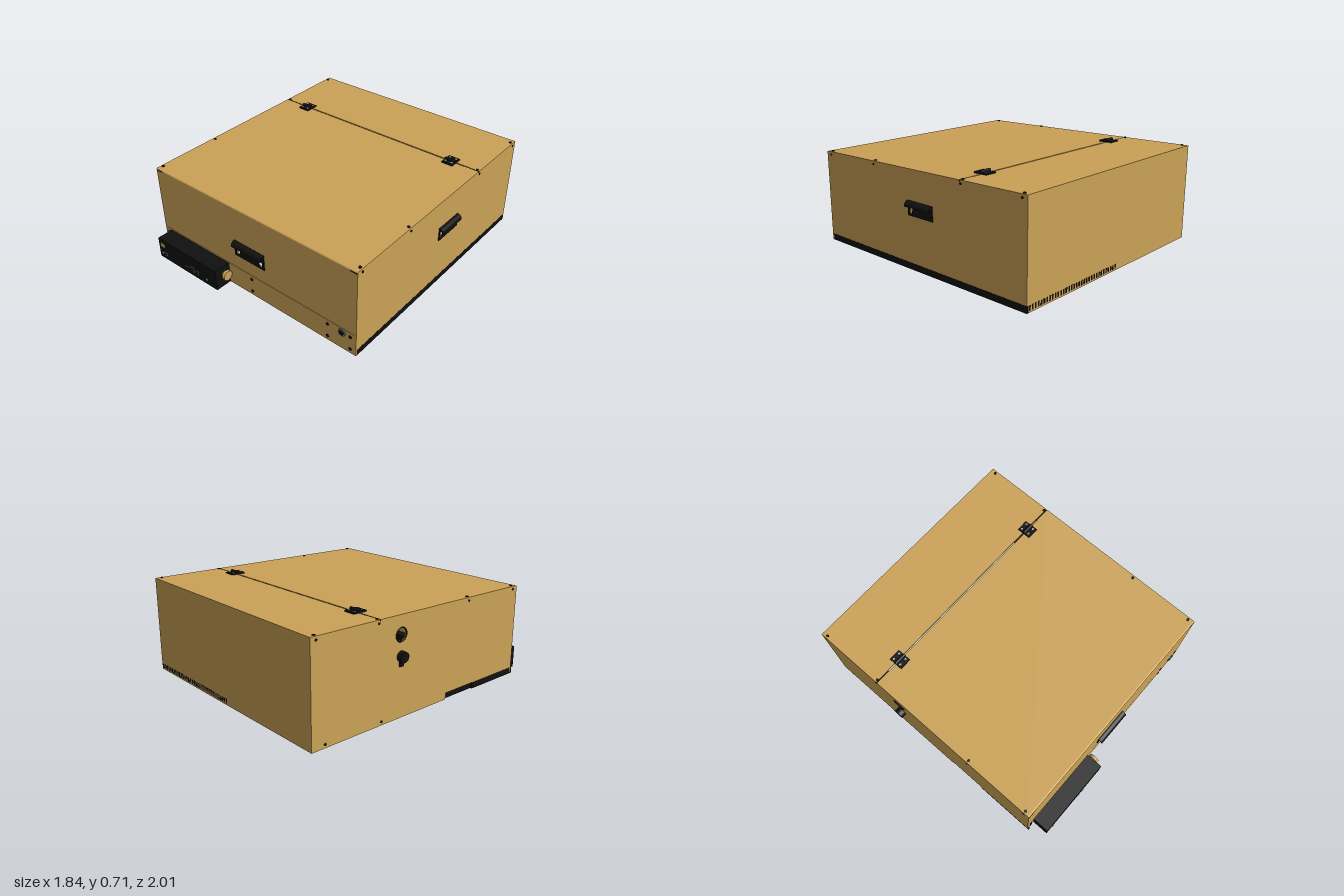
import * as THREE from 'three';

const mat = (name, color) => {
  const m = new THREE.MeshStandardMaterial({ color });
  m.name = name;
  return m;
};

export function createModel() {
  const model = new THREE.Group();
  model.name = 'enclosure';
  const tan = mat('tan panel', 0xcba257);
  const black = mat('black', 0x101010);
  const grey = mat('light grey', 0xa8adb0);
  const steel = mat('blue grey steel', 0x74858f);

  const add = (name, geo, material, x = 0, y = 0, z = 0, parent = model) => {
    const m = new THREE.Mesh(geo, material);
    m.name = name;
    m.position.set(x, y, z);
    parent.add(m);
    return m;
  };
  // box given by its limits
  const box = (name, material, x0, x1, y0, y1, z0, z1, parent = model) =>
    add(name, new THREE.BoxGeometry(x1 - x0, y1 - y0, z1 - z0), material,
      (x0 + x1) / 2, (y0 + y1) / 2, (z0 + z1) / 2, parent);
  const cyl = (name, material, r, h, axis, x, y, z, seg = 20) => {
    const m = add(name, new THREE.CylinderGeometry(r, r, h, seg), material, x, y, z);
    if (axis === 'x') m.rotation.z = Math.PI / 2;
    if (axis === 'z') m.rotation.x = Math.PI / 2;
    return m;
  };
  const outline = (pts, Type = THREE.Shape) => new Type(pts.map(p => new THREE.Vector2(...p)));
  const rect = (x0, x1, y0, y1, Type) => outline([[x0, y0], [x1, y0], [x1, y1], [x0, y1]], Type);
  const extrude = (shape, depth) =>
    new THREE.ExtrudeGeometry(shape, { depth, bevelEnabled: false, curveSegments: 24 });
  // profile drawn in (-z, y), extruded along +x from x0
  const sidePart = (name, material, shape, x0, depth) => {
    const m = add(name, extrude(shape, depth), material, x0);
    m.rotation.y = Math.PI / 2;
    return m;
  };

  const W = 0.885, F = 0.875, B = -1, T = 0.012;
  const top = z => 0.679 - 0.016 * z;

  // side panels, one with a grip opening, one with a round port
  const leftSide = outline([[-F, 0.046], [-B, 0.046], [-B, top(B) - T], [-F, top(F) - T]]);
  leftSide.holes.push(rect(0.018, 0.212, 0.39, 0.432, THREE.Path));
  sidePart('leftPanel', tan, leftSide, W - T, T);
  const rightSide = outline([[-F, 0.046], [-0.15, 0.046], [-0.15, 0], [-B, 0],
    [-B, top(B) - T], [-F, top(F) - T]]);
  const port = new THREE.Path();
  port.absarc(0.29, 0.555, 0.045, 0, Math.PI * 2, true);
  rightSide.holes.push(port);
  sidePart('rightPanel', tan, rightSide, -W, T);
  const ring = add('portRing', new THREE.TorusGeometry(0.045, 0.004, 8, 32), black, -W, 0.555, -0.29);
  ring.rotation.y = Math.PI / 2;

  // front and back panels
  const front = rect(-W + T, W - T, 0.171, top(F) - T);
  front.holes.push(rect(-0.12, 0.115, 0.295, 0.36, THREE.Path));
  add('frontPanel', extrude(front, T), tan, 0, 0, F - T);
  box('lowerFrontPanel', tan, -W, W, 0, 0.167, F - T, F);
  box('seamStrip', black, -0.87, 0.87, 0.16, 0.178, F - T - 0.008, F - T - 0.001);
  box('backPanel', tan, -W + T, W - T, 0, top(B) - T, B, B + T);

  // sloping top: fixed rear strip and hinged lid with a rounded front edge
  const zb = -0.477, zl = -0.467;
  sidePart('rearTop', tan, outline([[-zb, top(zb) - T], [-B, top(B) - T], [-B, top(B)], [-zb, top(zb)]]), -W, 2 * W);
  const lid = new THREE.Shape();
  lid.moveTo(-F, top(F) - T);
  lid.lineTo(-zl, top(zl) - T);
  lid.lineTo(-zl, top(zl));
  lid.lineTo(-F + T, top(F));
  lid.quadraticCurveTo(-F, top(F), -F, top(F) - T);
  sidePart('lid', tan, lid, -W, 2 * W);

  // base frame and inner frame bars
  for (const s of [-1, 1]) {
    const sx = (name, a, b, y0, y1, z0, z1) =>
      box(name, black, Math.min(s * a, s * b), Math.max(s * a, s * b), y0, y1, z0, z1);
    sx('baseRail', 0.8, W - T - 0.001, 0, 0.1, B + T, F - T);
    sx('topRail', 0.845, W - T - 0.001, 0.61, 0.64, B + T, F - T);
    sx('frontPost', 0.84, W - T - 0.001, 0.1, 0.61, F - T - 0.032, F - T - 0.001);
    sx('rearPost', 0.84, W - T - 0.001, 0.1, 0.61, B + T + 0.001, B + T + 0.032);
    sx('lidSeamEnd', 0.77, W - 0.002, 0.66, top(zl) - 0.001, zb, zl);
    sx('lidCornerSlot', 0.83, W - 0.004, 0.65, 0.656, F - 0.004, F + 0.002);
  }
  box('leftBaseEdge', black, W - T - 0.002, W, 0, 0.045, B + 0.001, F - T);
  box('rightBaseEdge', black, -W, -W + T + 0.002, 0, 0.045, -0.149, F - T).position.z = (0.15 + F - 0.008) / 2 + 0.15;
  model.children[model.children.length - 1].scale.z = 0.45;
  box('frontRail', black, -0.8, 0.8, 0, 0.05, F - T - 0.075, F - T);
  box('rearRail', black, -0.8, 0.8, 0, 0.1, B + T, B + T + 0.075);

  // vent slots low on the back
  for (let i = 0; i < 34; i++) {
    const x = 0.86 - i * 0.026;
    box('ventSlot', black, x - 0.007, x + 0.007, 0.012, 0.045, B - 0.001, B + 0.004);
  }

  // recessed grip handles with a curled lip
  const handle = (name, w, h, windows) => {
    const g = new THREE.Group();
    g.name = name;
    const plate = rect(-w / 2, w / 2, 0, h);
    for (const s of windows) {
      const pts = [[s * w * 0.43, h * 0.12], [s * w * 0.34, h * 0.12],
        [s * w * 0.29, h * 0.62], [s * w * 0.43, h * 0.62]];
      plate.holes.push(outline(pts, THREE.Path));
    }
    add('handlePlate', extrude(plate, 0.006), black, 0, 0, 0, g);
    const r = 0.036, lip = new THREE.Shape();
    lip.moveTo(0, h);
    lip.quadraticCurveTo(r, h, r, h - r);
    lip.lineTo(r - 0.01, h - r);
    lip.quadraticCurveTo(r - 0.012, h - 0.014, 0, h - 0.014);
    const m = add('handleLip', extrude(lip, w), black, w / 2, 0, 0, g);
    m.rotation.y = -Math.PI / 2;
    model.add(g);
    return g;
  };
  handle('frontHandle', 0.27, 0.12, [-1, 1]).position.set(-0.003, 0.282, F);
  const sideHandle = handle('sideHandle', 0.23, 0.1, [-1]);
  sideHandle.rotation.y = Math.PI / 2;
  sideHandle.position.set(W, 0.372, -0.115);

  // control box with ports and a side knob
  box('controlBox', black, -0.82, -0.22, 0.001, 0.163, 0.83, 1);
  const port2 = (name, m, x, y, w, h) => box(name, m, x - w / 2, x + w / 2, y - h / 2, y + h / 2, 0.997, 1.002);
  port2('powerSwitch', tan, -0.777, 0.115, 0.042, 0.032);
  for (const [x, y, w, h] of [[-0.755, 0.045, 0.03, 0.026], [-0.468, 0.053, 0.032, 0.042], [-0.418, 0.05, 0.032, 0.032]]) {
    port2('portFrame', grey, x, y, w, h);
    box('portOpening', black, x - w / 2 + 0.004, x + w / 2 - 0.004, y - h / 2 + 0.004, y + h / 2 - 0.004, 0.998, 1.004);
  }
  for (const x of [-0.79, -0.32]) cyl('jack', grey, 0.009, 0.006, 'z', x, 0.042, 0.999);
  for (let i = 0; i < 5; i++) port2('indicator', grey, -0.54 + i * 0.008, 0.053, 0.004, 0.005);
  cyl('knob', tan, 0.037, 0.022, 'x', -0.197, 0.095, 0.92, 18);
  cyl('knobStem', tan, 0.028, 0.02, 'x', -0.214, 0.095, 0.92);

  // push button on the lower front
  cyl('buttonRing', steel, 0.028, 0.012, 'z', 0.775, 0.135, F);
  cyl('button', black, 0.018, 0.02, 'z', 0.775, 0.135, F);
  box('buttonBody', black, 0.75, 0.8, 0.11, 0.16, F - 0.06, F - T);
  box('innerBracket', black, -0.025, 0.025, 0.1, 0.17, F - 0.04, F - T);

  // cable gland on the right side with its inner duct
  cyl('cableGland', black, 0.036, 0.036, 'x', -W - 0.018, 0.415, -0.29);
  box('glandTail', black, -W - 0.012, -W, 0.35, 0.4, -0.305, -0.275);
  box('innerDuct', black, -W + T, -0.82, 0.2, 0.48, -0.35, -0.23);

  // tool head hanging inside
  box('toolHead', black, 0.0, 0.2, 0.38, 0.664, -0.1, 0.1);

  // hinges
  for (const s of [-1, 1]) {
    const x = s * 0.663, y = top(-0.467);
    box('hingeLeaf', black, x - 0.043, x + 0.043, y - 0.002, y + 0.01, -0.52, -0.416);
    cyl('hingeBarrel', black, 0.012, 0.086, 'x', x, y + 0.012, -0.467, 14);
    for (const dx of [-0.025, 0.025]) for (const dz of [-0.03, 0.03])
      cyl('hingeScrew', grey, 0.008, 0.004, 'y', x + dx, y + 0.0105, -0.468 + dz, 12);
  }

  // panel screws
  for (const [x, y] of [[-0.85, 0.135], [-0.85, 0.035], [0, 0.135], [0, 0.035],
    [0.66, 0.135], [0.66, 0.035], [0.84, 0.135], [0.84, 0.035]])
    cyl('frontScrew', black, 0.011, 0.008, 'z', x, y, F + 0.001, 12);
  for (const s of [-1, 1]) for (const z of [-0.96, -0.482, 0.345, 0.83]) {
    cyl('topScrew', black, 0.01, 0.008, 'y', s * 0.866, top(z) + 0.001, z, 12);
    cyl('sideScrew', black, 0.008, 0.008, 'x', s * W, top(z) - 0.022, z, 12);
  }
  for (const z of [-0.9, -0.45]) cyl('sideScrew', black, 0.009, 0.008, 'x', -W, 0.025, z, 12);

  return model;
}
